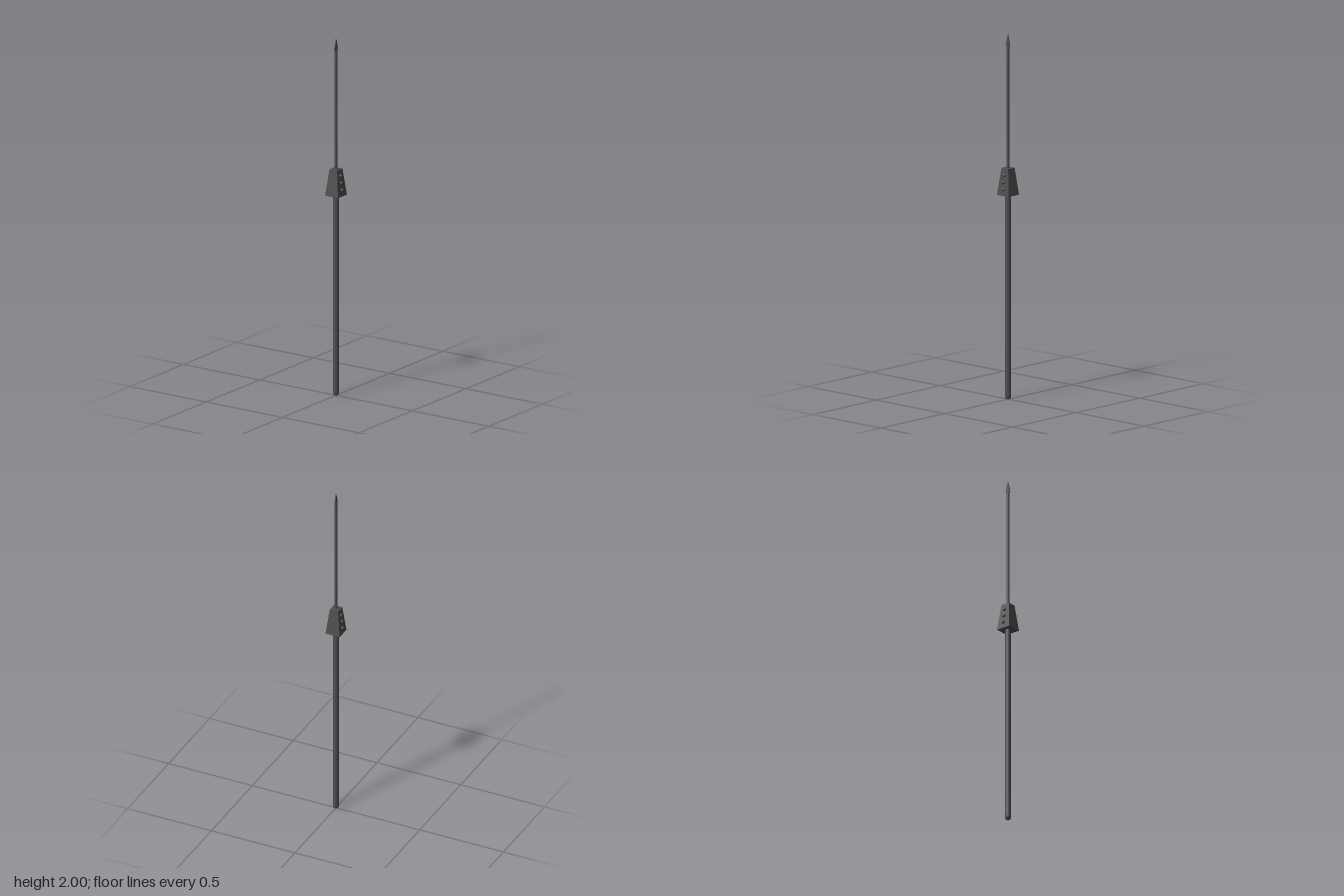
import * as THREE from 'three';

const steel = new THREE.MeshStandardMaterial({ color: 0x4e4e4e });
const steelFlat = new THREE.MeshStandardMaterial({ color: 0x4e4e4e, flatShading: true });

const points = (pts) => pts.map(([x, y]) => new THREE.Vector2(x, y));

export function createModel() {
  const group = new THREE.Group();
  const add = (name, geometry, material = steel) => {
    const mesh = new THREE.Mesh(geometry, material);
    mesh.name = name;
    group.add(mesh);
    return mesh;
  };

  // Wooden shaft with a rounded butt
  add('shaft', new THREE.LatheGeometry(points([
    [0, 0], [0.008, 0.001], [0.013, 0.005], [0.016, 0.013], [0.016, 0.03], [0.016, 1.13],
  ]), 20));

  // Square tapering block joining shaft and shank
  const bottom = 1.122, height = 0.148, wide = 0.042, narrow = 0.025;
  const block = new THREE.CylinderGeometry(narrow * Math.SQRT2, wide * Math.SQRT2, height, 4);
  block.rotateY(Math.PI / 4);
  add('block', block, steelFlat).position.y = bottom + height / 2;

  // Three domed rivets on the front and back of the block
  const slope = (wide - narrow) / height;
  for (const side of [1, -1]) {
    for (const y of [1.157, 1.196, 1.235]) {
      const rivet = add('rivet', new THREE.SphereGeometry(0.01, 16, 10));
      rivet.position.set(0, y, side * (wide - (y - bottom) * slope));
    }
  }

  // Long thin shank of even thickness, tapering off inside the head
  add('shank', new THREE.LatheGeometry(points([
    [0.0075, 1.265], [0.0075, 1.935], [0.003, 1.955], [0, 1.96],
  ]), 12));

  // Flat arrow-shaped head
  const thickness = 0.006;
  const head = add('head', new THREE.ExtrudeGeometry(new THREE.Shape(points([
    [-0.007, 1.932], [0.007, 1.932], [0.014, 1.938], [0.009, 1.965],
    [0, 2], [-0.009, 1.965], [-0.014, 1.938],
  ])), { depth: thickness, bevelEnabled: false }), steelFlat);
  head.position.z = -thickness / 2;

  return group;
}
